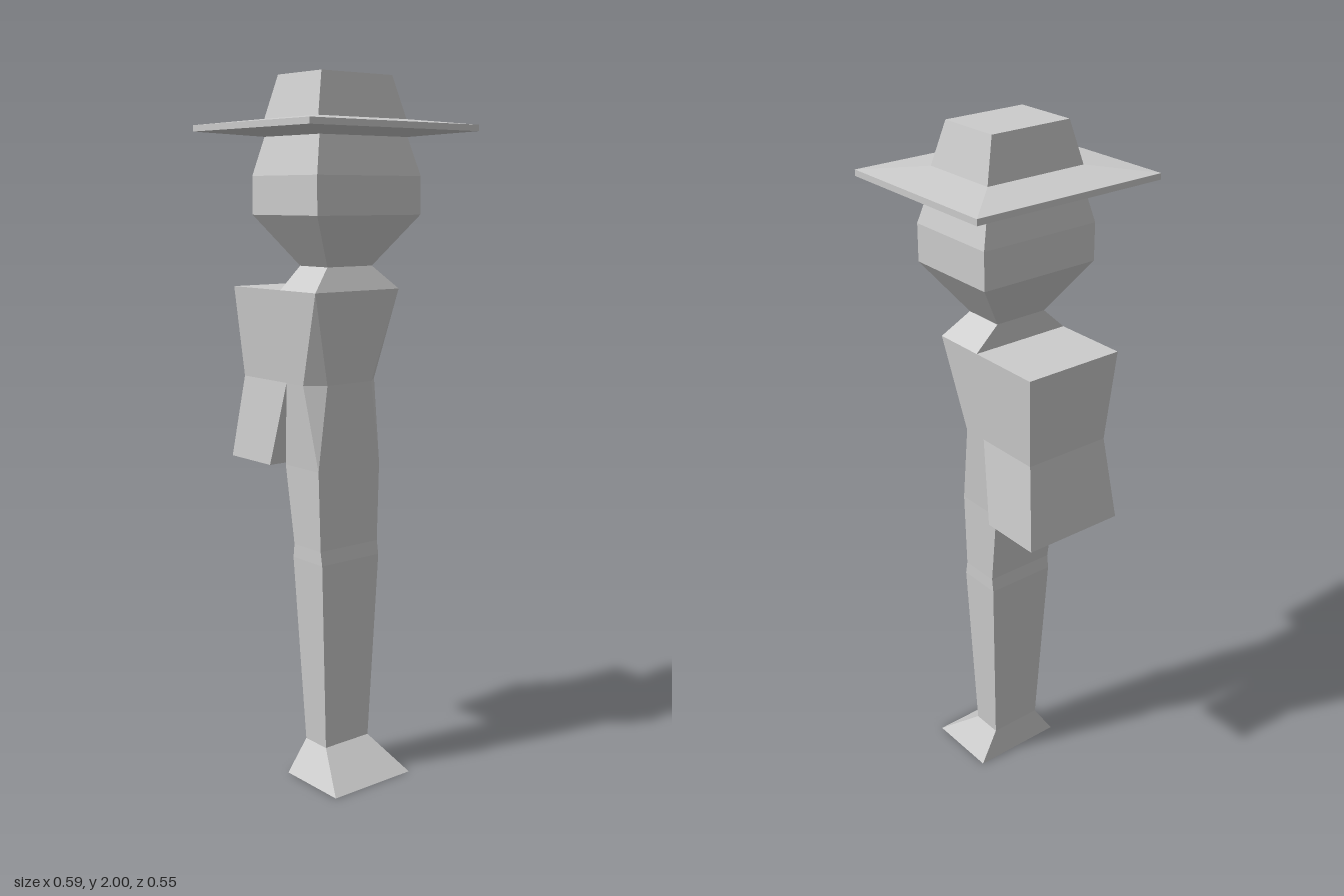
import * as THREE from 'three';

const material = new THREE.MeshStandardMaterial({ color: 0xcccccc, flatShading: true });

// Rectangular section: height, half width, front z, back z
const rect = (y, w, f, b) => [[-w, y, f], [w, y, f], [w, y, b], [-w, y, b]];

// Section with chamfered front corners: w, f on the front face, s, m on the sides
const chamfered = (y, w, f, s, m, b) =>
  [[-s, y, m], [-w, y, f], [w, y, f], [s, y, m], [s, y, b], [-s, y, b]];

// Square section whose chamfers have closed up to the front corners
const closed = (y, w, f, b) => chamfered(y, w, f, w, f, b);

// Skin stacked sections from bottom to top and cap both ends
function loft(name, rings) {
  const positions = [];
  const tri = (a, b, c) => {
    const [p, q, r] = [a, b, c].map((v) => new THREE.Vector3(...v));
    if (q.sub(p).cross(r.sub(p)).length() > 1e-7) positions.push(...a, ...b, ...c);
  };
  for (let i = 0; i < rings.length - 1; i++) {
    const lo = rings[i], hi = rings[i + 1], n = lo.length;
    for (let j = 0; j < n; j++) {
      const k = (j + 1) % n;
      tri(lo[j], lo[k], hi[k]);
      tri(lo[j], hi[k], hi[j]);
    }
  }
  const base = rings[0], top = rings[rings.length - 1];
  for (let j = 1; j < base.length - 1; j++) tri(base[0], base[j + 1], base[j]);
  for (let j = 1; j < top.length - 1; j++) tri(top[0], top[j], top[j + 1]);
  const geometry = new THREE.BufferGeometry();
  geometry.setAttribute('position', new THREE.Float32BufferAttribute(positions, 3));
  geometry.computeVertexNormals();
  const mesh = new THREE.Mesh(geometry, material);
  mesh.name = name;
  return mesh;
}

export function createModel() {
  const model = new THREE.Group();
  model.name = 'hattedFigure';

  model.add(
    // Feet flare forward from the ankles
    loft('feet', [
      rect(0, 0.14, 0.19, -0.03),
      rect(0.095, 0.08, 0.072, -0.02),
    ]),
    // Legs with a small step at the knee
    loft('legs', [
      rect(0.095, 0.08, 0.072, -0.02),
      rect(0.65, 0.105, 0.087, -0.045),
      rect(0.69, 0.105, 0.08, -0.04),
      rect(0.92, 0.112, 0.08, -0.07),
    ]),
    // Torso with chamfers pinching in the waist
    loft('torso', [
      closed(0.92, 0.112, 0.08, -0.07),
      chamfered(1.16, 0.08, 0.08, 0.13, 0.035, -0.04),
      closed(1.42, 0.15, 0.115, -0.04),
    ]),
    // Pack hanging off the back, free of the hips below the waist
    loft('backpack', [
      rect(0.92, 0.153, -0.09, -0.275),
      rect(1.16, 0.13, -0.04, -0.24),
      rect(1.42, 0.15, -0.04, -0.26),
    ]),
    loft('neck', [
      rect(1.42, 0.15, 0.115, -0.04),
      rect(1.485, 0.08, 0.08, -0.04),
    ]),
    loft('head', [
      rect(1.485, 0.08, 0.08, -0.04),
      rect(1.625, 0.183, 0.165, -0.12),
      rect(1.73, 0.183, 0.165, -0.12),
      rect(1.835, 0.155, 0.14, -0.1),
    ]),
    // Wide thin brim, then the tapered crown
    loft('hatBrim', [
      rect(1.835, 0.155, 0.135, -0.1),
      rect(1.85, 0.295, 0.275, -0.24),
      rect(1.867, 0.295, 0.275, -0.24),
      rect(1.883, 0.155, 0.135, -0.1),
    ]),
    loft('hatCrown', [
      rect(1.883, 0.155, 0.135, -0.1),
      rect(2, 0.124, 0.11, -0.078),
    ]),
  );
  return model;
}
